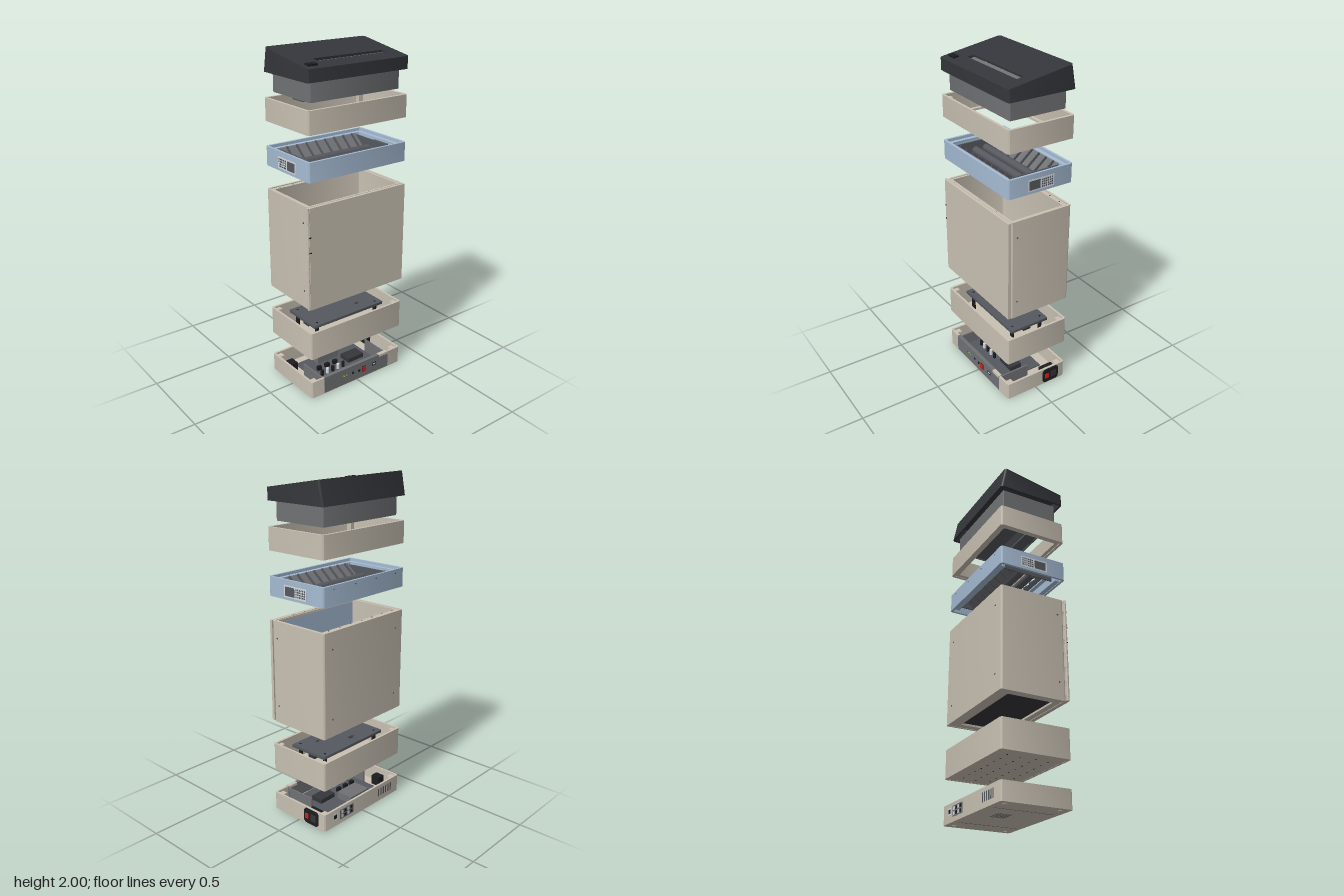
import * as THREE from 'three';
import { toCreasedNormals } from 'three/addons/utils/BufferGeometryUtils.js';

const mat = (color) => new THREE.MeshStandardMaterial({ color, side: THREE.DoubleSide });
const beige = mat(0xc8c0b2), blue = mat(0xa5bbd3), dark = mat(0x35363b), grey = mat(0x707174);
const black = mat(0x1c1d20), red = mat(0xd8201c), amber = mat(0xc99a20), green = mat(0x35b04a);
const slate = mat(0x55585e), pale = mat(0xd3d9df);
const W = 0.678, D = 0.418;

function group(parent, name) {
  const g = new THREE.Group();
  g.name = name;
  parent.add(g);
  return g;
}
function add(parent, name, geo, material, x = 0, y = 0, z = 0) {
  const m = new THREE.Mesh(geo, material);
  m.name = name;
  m.position.set(x, y, z);
  parent.add(m);
  return m;
}
// box given by size and centre
const box = (p, name, m, w, h, d, x, y, z) => add(p, name, new THREE.BoxGeometry(w, h, d), m, x, y, z);
const rod = (p, name, m, r, len, x, y, z, axis = 'y') => {
  const g = new THREE.CylinderGeometry(r, r, len, 16);
  if (axis === 'x') g.rotateZ(Math.PI / 2);
  if (axis === 'z') g.rotateX(Math.PI / 2);
  return add(p, name, g, m, x, y, z);
};
function roundRect(path, w, d, r, cx = 0, cz = 0) {
  const a = w / 2 - r, b = d / 2 - r;
  path.absarc(cx + a, -cz + b, r, 0, Math.PI / 2);
  path.absarc(cx - a, -cz + b, r, Math.PI / 2, Math.PI);
  path.absarc(cx - a, -cz - b, r, Math.PI, Math.PI * 1.5);
  path.absarc(cx + a, -cz - b, r, Math.PI * 1.5, Math.PI * 2);
  path.closePath();
  return path;
}
// upright extrusion of a rounded plan, with optional rounded holes [w, d, r, x, z]
function plan(w, d, h, r, holes = []) {
  const s = roundRect(new THREE.Shape(), w, d, r);
  holes.forEach((o) => s.holes.push(roundRect(new THREE.Path(), ...o)));
  const g = new THREE.ExtrudeGeometry(s, { depth: h, bevelEnabled: false, curveSegments: 6 });
  return g.rotateX(-Math.PI / 2);
}
const slab = (p, name, m, y, h, w, d, r, holes) =>
  add(p, name, toCreasedNormals(plan(w, d, h, r, holes), 0.6), m, 0, y, 0);
const ring = (p, name, m, y, h, t, w = W, d = D, r = 0.016) =>
  slab(p, name, m, y, h, w, d, r, [[w - 2 * t, d - 2 * t, 0.006]]);
const fourCorners = (x, z, fn) => [-1, 1].forEach((i) => [-1, 1].forEach((j) => fn(i * x, j * z)));

function buildLid(root) {
  const g = group(root, 'lid');
  // lean the back wall and slope the top of a 0.07 high plan
  const wedge = (geo) => {
    const p = geo.attributes.position;
    for (let i = 0; i < p.count; i++) {
      const t = p.getY(i) / 0.07, f = (D / 2 - p.getZ(i)) / D;
      p.setY(i, p.getY(i) + t * 0.065 * f);
      p.setZ(i, p.getZ(i) + t * 0.026 * f);
    }
    return toCreasedNormals(geo, 0.5);
  };
  add(g, 'lidWall', wedge(plan(W, D, 0.07, 0.016, [[W - 0.024, D - 0.024, 0.006]])), dark, 0, 1.865, 0);
  const top = plan(W - 0.002, D - 0.002, 0.008, 0.016, [[0.47, 0.042, 0.004, 0.029, 0.083]]);
  add(g, 'lidTop', wedge(top.translate(0, 0.062, 0)), dark, 0, 1.865, 0);
  const onSlope = (m) => { m.rotation.x = 0.165; return m; };
  onSlope(box(g, 'slotFloor', grey, 0.48, 0.004, 0.052, 0.029, 1.937, 0.09));
  onSlope(box(g, 'controlPad', black, 0.06, 0.014, 0.031, -0.278, 1.946, 0.156));

  const c = group(root, 'feedUnit');
  ring(c, 'feedWall', grey, 1.755, 0.112, 0.012, 0.6, 0.35, 0.004);
  slab(c, 'feedCover', grey, 1.862, 0.006, 0.6, 0.35, 0.004);
  slab(c, 'feedFloor', slate, 1.757, 0.006, 0.59, 0.34, 0.004, [[0.47, 0.06, 0.004, 0.02, 0.06]]);
  box(c, 'feedFoot', slate, 0.09, 0.012, 0.09, -0.245, 1.75, 0.045);
  box(c, 'motorCase', slate, 0.3, 0.05, 0.09, 0.02, 1.79, -0.08);
}

function buildCollar(root) {
  const g = group(root, 'upperCollar');
  ring(g, 'collarWall', beige, 1.595, 0.13, 0.016);
  ring(g, 'collarFlange', beige, 1.6, 0.012, 0.035, W - 0.006, D - 0.006);
  fourCorners(0.305, 0.175, (x, z) => box(g, 'collarPost', beige, 0.03, 0.1, 0.03, x, 1.66, z));
}

// grille of square holes on an end wall
function grille(p, side) {
  const g = group(p, 'sideGrille'), x = side * (W / 2 + 0.0005);
  box(g, 'grillePlate', pale, 0.002, 0.067, 0.17, x, 1.388, 0.002);
  box(g, 'denseFilter', slate, 0.003, 0.052, 0.072, x, 1.388, 0.042);
  for (let i = 0; i < 6; i++) for (let j = 0; j < 4; j++)
    box(g, 'grilleHole', slate, 0.003, 0.009, 0.008, x, 1.368 + j * 0.0133, -0.008 - i * 0.0125);
}

function buildCutter(root) {
  const g = group(root, 'cutterUnit');
  ring(g, 'cutterHousing', blue, 1.34, 0.112, 0.014);
  ring(g, 'cutterRim', blue, 1.425, 0.01, 0.035, W - 0.006, D - 0.006);
  [-1, 1].forEach((s) => {
    grille(g, s);
    // sloping hopper walls
    const w = box(g, 'hopperWall', grey, 0.54, 0.005, 0.125, 0, 1.392, s * 0.118);
    w.rotation.x = -s * 0.7;
    box(g, 'hopperEnd', slate, 0.008, 0.075, 0.32, s * 0.27, 1.39, 0);
    rod(g, 'cutterShaft', slate, 0.024, 0.53, 0, 1.372, s * 0.036, 'x');
    box(g, 'bottomRail', blue, 0.6, 0.012, 0.03, 0, 1.35, s * 0.18);
    for (let i = 0; i < 8; i++) {
      const r = box(g, 'hopperRib', slate, 0.006, 0.02, 0.11, -0.23 + i * 0.066, 1.4, s * 0.118);
      r.rotation.x = -s * 0.7;
    }
  });
  box(g, 'driveMotor', slate, 0.035, 0.05, 0.12, 0.297, 1.39, 0.02);
  for (let i = 0; i < 4; i++) rod(g, 'rearScrew', slate, 0.004, 0.003, -0.26 + i * 0.173, 1.43, -D / 2, 'z');
}

function buildBin(root) {
  const g = group(root, 'collectionBin');
  const shell = ring(g, 'binShell', beige, 0.585, 0.615, 0.012, W, D - 0.02, 0.012);
  shell.position.z = -0.01;
  box(g, 'door', beige, W, 0.61, 0.018, 0, 0.894, D / 2 - 0.009);
  box(g, 'doorLining', blue, W - 0.03, 0.58, 0.004, 0, 0.893, 0.175);
  ring(g, 'topRim', beige, 1.183, 0.014, 0.025, W - 0.004, D - 0.03);
  ring(g, 'bottomRim', beige, 0.588, 0.012, 0.055, W - 0.004, D - 0.03);
  box(g, 'binFloor', dark, W - 0.03, 0.006, D - 0.05, 0, 0.606, -0.006);
  // hinge along the door edge
  rod(g, 'hingePin', beige, 0.007, 0.61, -0.343, 0.894, 0.198);
  for (let i = 0; i < 7; i++) rod(g, 'hingeKnuckle', beige, 0.009, 0.06, -0.342, 0.64 + i * 0.085, 0.198);
  [0.94, 1.03].forEach((y) => box(g, 'hingeCatch', black, 0.014, 0.006, 0.003, -0.336, y, D / 2));
  for (let i = 0; i < 7; i++) {
    const x = -0.27 + i * 0.09;
    [-1, 1].forEach((s) => rod(g, 'rimScrew', slate, 0.004, 0.002, x, 1.199, s * 0.18));
  }
  [0.69, 1.1].forEach((y) => [-1, 1].forEach((s) => {
    rod(g, 'sideScrew', slate, 0.005, 0.003, s * W / 2, y, 0.15, 'x');
    rod(g, 'backScrew', slate, 0.005, 0.003, s * 0.27, y, -D / 2, 'z');
  }));
}

function buildScale(root) {
  const g = group(root, 'platformUnit');
  ring(g, 'platformHousing', beige, 0.265, 0.17, 0.014);
  slab(g, 'platformFloor', beige, 0.266, 0.012, W - 0.006, D - 0.006, 0.014);
  slab(g, 'platform', slate, 0.408, 0.016, 0.52, 0.26, 0.004,
    [[0.05, 0.025, 0.003, -0.06, -0.06], [0.035, 0.02, 0.003, 0.12, 0.05]]);
  box(g, 'platformBeam', dark, 0.46, 0.035, 0.05, 0, 0.385, 0);
  fourCorners(0.22, 0.1, (x, z) => {
    rod(g, 'platformLeg', black, 0.012, 0.13, x, 0.343, z);
    rod(g, 'platformScrew', black, 0.006, 0.003, x, 0.425, z);
  });
  fourCorners(0.305, 0.175, (x, z) => box(g, 'cornerPost', beige, 0.03, 0.15, 0.03, x, 0.352, z));
  // fixing holes under the floor
  for (let i = 0; i < 8; i++) for (let j = 0; j < 4; j++)
    rod(g, 'floorHole', black, 0.0045, 0.002, -0.26 + i * 0.073 + (j % 2) * 0.02, 0.2655, -0.13 + j * 0.085);
}

function buildBase(root) {
  const g = group(root, 'base');
  const f = D / 2;
  ring(g, 'baseWall', beige, 0.003, 0.107, 0.014);
  slab(g, 'baseFloor', beige, 0.003, 0.01, W - 0.006, D - 0.006, 0.014);
  fourCorners(0.305, 0.175, (x, z) => box(g, 'basePost', beige, 0.036, 0.09, 0.036, x, 0.055, z));

  // front control panel
  const p = group(g, 'controlPanel');
  box(p, 'panelFace', grey, 0.49, 0.105, 0.022, -0.003, 0.059, f - 0.0095);
  box(p, 'panelNotch', beige, 0.07, 0.016, 0.024, 0.205, 0.104, f - 0.0095);
  [-1, 1].forEach((s) => box(p, 'panelSide', grey, 0.008, 0.09, 0.2, -0.005 + s * 0.24, 0.055, 0.095));
  [red, amber, green].forEach((m, i) => {
    const led = add(p, 'statusLight', new THREE.SphereGeometry(0.005, 12, 8), m, -0.124 + i * 0.02, 0.066, f + 0.003);
    led.scale.z = 1.2;
  });
  rod(p, 'jack', black, 0.008, 0.006, -0.036, 0.064, f + 0.002, 'z');
  rod(p, 'button', black, 0.008, 0.008, 0.012, 0.062, f + 0.002, 'z');
  box(p, 'rockerFrame', black, 0.03, 0.036, 0.004, 0.05, 0.06, f + 0.002);
  box(p, 'rockerSwitch', red, 0.024, 0.03, 0.011, 0.05, 0.06, f + 0.005);
  box(p, 'dataPort', black, 0.03, 0.02, 0.005, 0.133, 0.065, f + 0.001);
  box(p, 'dataPortCore', pale, 0.018, 0.008, 0.006, 0.133, 0.065, f + 0.0015);

  // power inlet with chamfered outline
  const s = new THREE.Shape([[-0.056, -0.034], [-0.044, -0.046], [0.044, -0.046], [0.056, -0.034],
    [0.056, 0.034], [0.044, 0.046], [-0.044, 0.046], [-0.056, 0.034]].map((v) => new THREE.Vector2(...v)));
  const inlet = add(g, 'powerInlet', new THREE.ExtrudeGeometry(s, { depth: 0.008, bevelEnabled: false }),
    black, W / 2 - 0.001, 0.06, -0.103);
  inlet.rotation.y = Math.PI / 2;
  box(g, 'powerSwitch', red, 0.012, 0.03, 0.024, W / 2 + 0.007, 0.06, -0.073);
  box(g, 'powerSocket', dark, 0.003, 0.045, 0.04, W / 2 + 0.007, 0.06, -0.122);
  box(g, 'inletBody', black, 0.05, 0.07, 0.09, W / 2 - 0.035, 0.055, -0.103);

  // rear connectors and vents
  box(g, 'rearSocket', pale, 0.04, 0.04, 0.003, 0.25, 0.065, -f);
  box(g, 'rearSocketCore', black, 0.024, 0.024, 0.005, 0.25, 0.065, -f);
  box(g, 'rearPanel', grey, 0.12, 0.06, 0.003, 0.15, 0.06, -f);
  for (let i = 0; i < 4; i++) for (let j = 0; j < 2; j++)
    box(g, 'rearPort', i % 2 ? pale : black, 0.018, 0.018, 0.006, 0.11 + i * 0.027, 0.047 + j * 0.027, -f);
  for (let i = 0; i < 6; i++) box(g, 'rearVent', slate, 0.01, 0.05, 0.003, -0.26 + i * 0.023, 0.06, -f);

  // electronics inside
  box(g, 'circuitBoard', slate, 0.44, 0.006, 0.28, -0.01, 0.03, 0.02);
  box(g, 'powerSupply', grey, 0.16, 0.045, 0.11, -0.04, 0.055, -0.09);
  box(g, 'controller', dark, 0.12, 0.03, 0.08, 0.1, 0.045, 0.03);
  box(g, 'fan', black, 0.05, 0.06, 0.06, -0.28, 0.055, -0.09);
  for (let i = 0; i < 5; i++) rod(g, 'capacitor', i % 2 ? pale : black, 0.01, 0.035, -0.17 + i * 0.04, 0.05, 0.08);
  for (let i = 0; i < 3; i++) box(g, 'terminalBlock', black, 0.03, 0.025, 0.02, -0.15 + i * 0.06, 0.045, 0.02);

  // grooves and feet underneath
  for (let i = 0; i < 6; i++) box(g, 'floorVent', slate, 0.1, 0.002, 0.006, -0.05, 0.0028, -0.09 + i * 0.015);
  [-0.2, 0.2].forEach((x) => box(g, 'floorSeam', slate, 0.003, 0.002, 0.36, x, 0.0028, 0));
  fourCorners(0.29, 0.16, (x, z) => rod(g, 'foot', beige, 0.012, 0.004, x, 0.002, z));
}

export function createModel() {
  const model = new THREE.Group();
  model.name = 'explodedMachine';
  const root = group(model, 'stackedSections');
  root.position.set(-0.002, 0, -0.003);
  [buildLid, buildCollar, buildCutter, buildBin, buildScale, buildBase].forEach((build) => build(root));
  return model;
}
